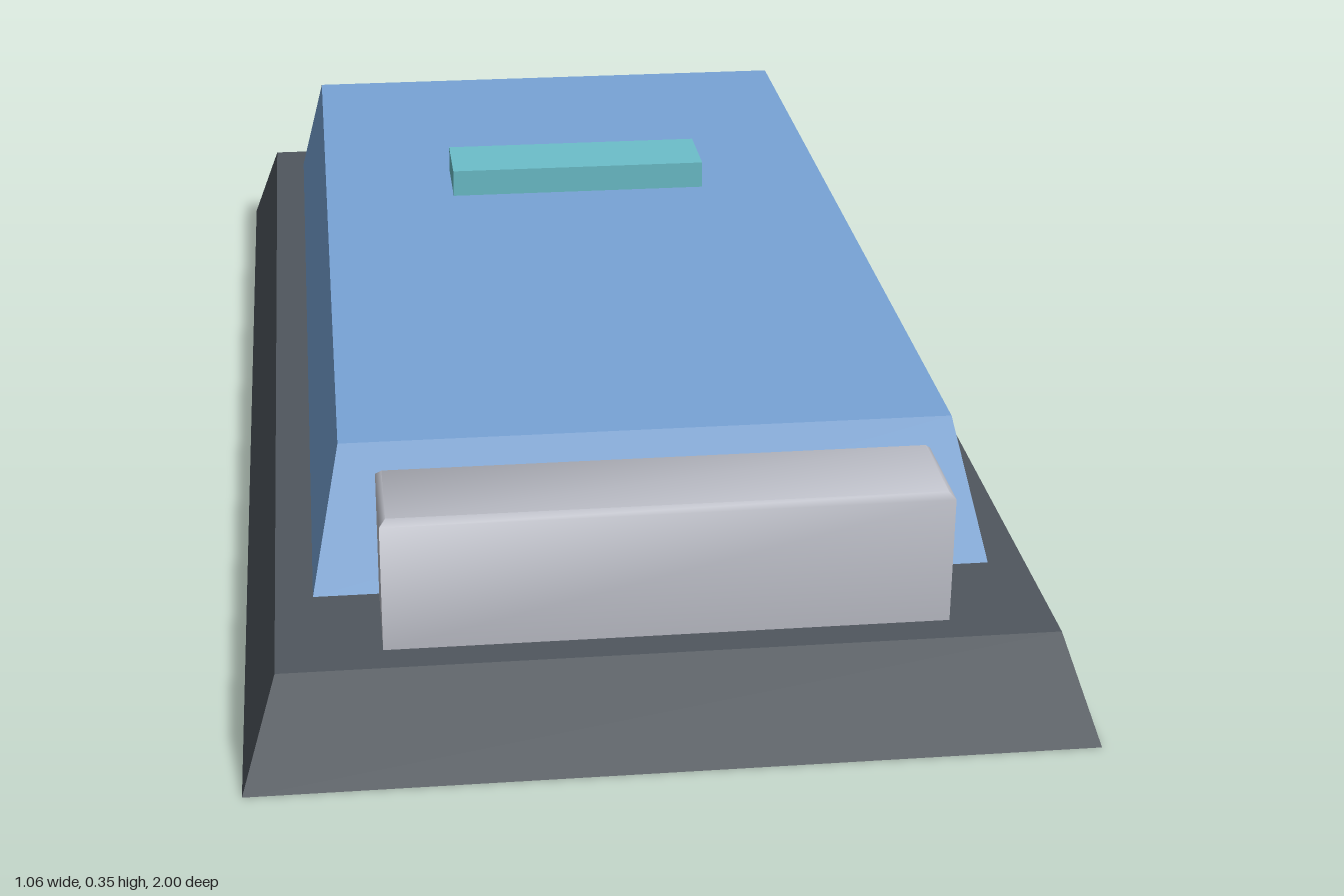
import * as THREE from 'three';
import { toCreasedNormals } from 'three/addons/utils/BufferGeometryUtils.js';

const mat = (name, color) => Object.assign(new THREE.MeshStandardMaterial({ color }), { name });

// Closed solid through stacked rectangles, each [y, halfWidth, zBack, zFront].
function loft(rings, crease = 0.01) {
  const pos = [];
  for (const [y, w, zb, zf] of rings) pos.push(-w, y, zf, w, y, zf, w, y, zb, -w, y, zb);
  const index = [];
  const quad = (a, b, c, d) => index.push(a, b, c, a, c, d);
  for (let r = 0; r < rings.length - 1; r++) {
    for (let i = 0; i < 4; i++) {
      const a = r * 4 + i, b = r * 4 + (i + 1) % 4;
      quad(a, b, b + 4, a + 4);
    }
  }
  const t = (rings.length - 1) * 4;
  quad(t, t + 1, t + 2, t + 3);
  quad(3, 2, 1, 0);
  const g = new THREE.BufferGeometry();
  g.setAttribute('position', new THREE.Float32BufferAttribute(pos, 3));
  g.setIndex(index);
  return toCreasedNormals(g.toNonIndexed(), crease);
}

export function createModel() {
  const group = new THREE.Group();
  const add = (name, geometry, material) => {
    const mesh = new THREE.Mesh(geometry, material);
    mesh.name = name;
    group.add(mesh);
  };
  const charcoal = mat('charcoal', 0x50575e);
  const blue = mat('blue', 0x78a4d6);
  const silver = mat('silver', 0xbbbdc6);
  const teal = mat('teal', 0x6cbfca);

  // Tapered plinth
  add('base', loft([[0, 0.53, -1, 1], [0.135, 0.485, -0.943, 0.943]]), charcoal);

  // Sloped main block, set towards the back
  add('body', loft([[0.135, 0.437, -0.875, 0.757], [0.311, 0.398, -0.795, 0.678]]), blue);

  // Front bar with a softened top edge
  const b = 0.008;
  add('frontBar', loft([
    [0.135, 0.353, 0.753, 0.9],
    [0.311 - b, 0.353, 0.753, 0.9],
    [0.311, 0.353 - b, 0.753 + b, 0.9 - b],
  ], 1), silver);

  // Small raised plate on the top
  add('topPlate', loft([[0.311, 0.198, -0.322, -0.207], [0.352, 0.198, -0.322, -0.207]]), teal);

  return group;
}
